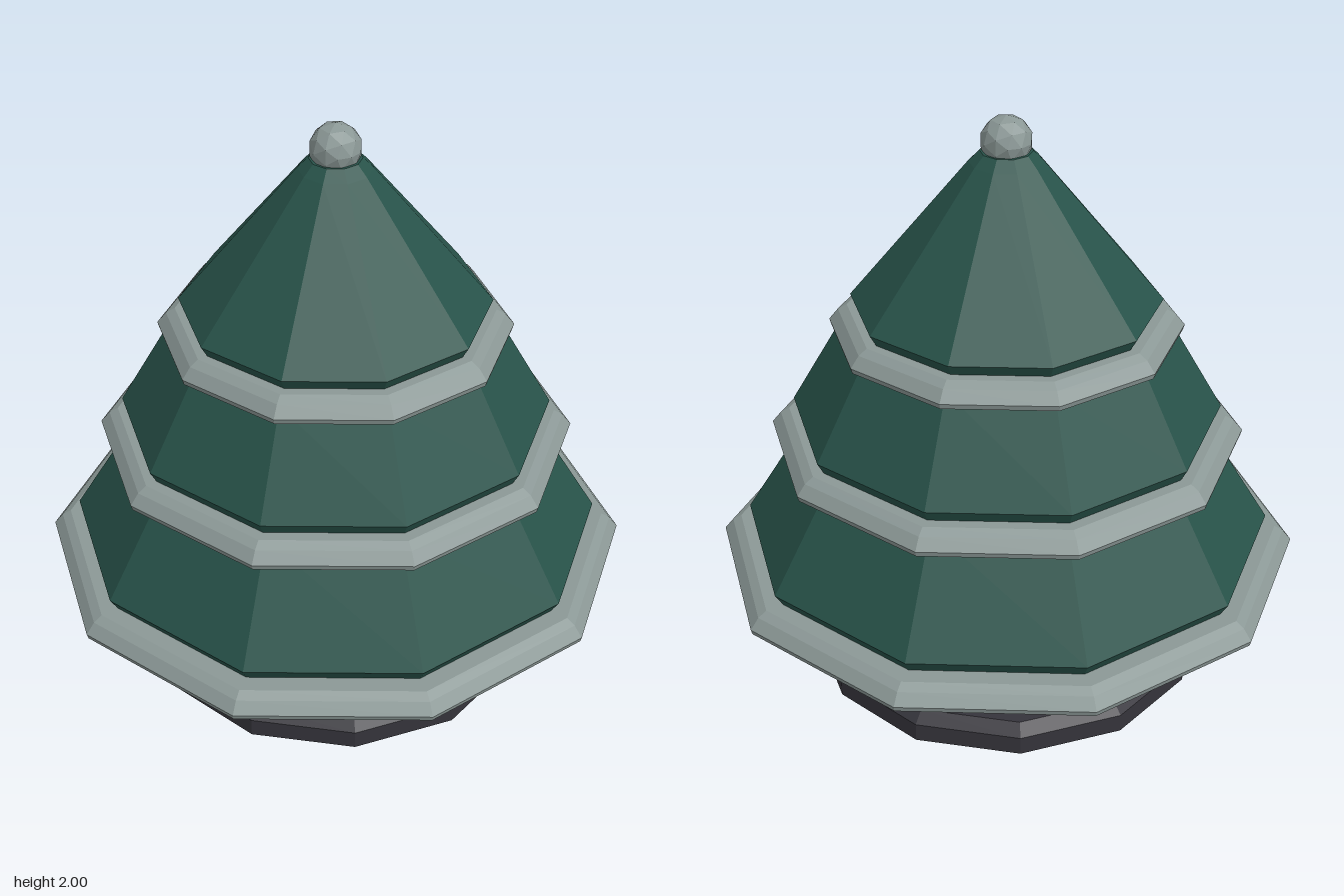
import * as THREE from 'three';

const paint = (name, color) => {
  const m = new THREE.MeshStandardMaterial({ color });
  m.name = name;
  return m;
};

// Separate the faces so every facet has its own normal.
function faceted(geometry) {
  const g = geometry.index ? geometry.toNonIndexed() : geometry;
  g.computeVertexNormals();
  return g;
}

export function createModel() {
  const green = paint('pine green', 0x28534a);
  const snow = paint('pale grey', 0x8b9896);
  const bark = paint('bark brown', 0x3c3124);
  const stone = paint('dark stone', 0x35343b);
  const tree = new THREE.Group();
  tree.name = 'tree';

  const add = (name, geometry, material, parent = tree) => {
    const mesh = new THREE.Mesh(faceted(geometry), material);
    mesh.name = name;
    parent.add(mesh);
    return mesh;
  };

  // Closed solid turned from [radius, height] pairs, listed bottom to top.
  const turned = (profile, sides) => {
    const pts = [[0, profile[0][1]], ...profile, [0, profile[profile.length - 1][1]]];
    return new THREE.LatheGeometry(pts.map(([r, y]) => new THREE.Vector2(r, y)), sides);
  };

  // Chamfered base plate and trunk
  add('base', turned([[0.645, 0], [0.685, 0.03], [0.685, 0.095], [0.645, 0.13]], 12), stone);
  add('trunk', turned([[0.15, 0.13], [0.175, 0.16], [0.175, 0.46]], 8), bark);

  // Three tiers, each a cone of branches sitting on a pale trim ring
  const tiers = [
    { name: 'lower', y: 0.425, ring: 1.0, foliage: [[0.88, 0.46], [0.88, 0.498], [0.905, 0.54], [0.68, 0.9]] },
    { name: 'middle', y: 0.868, ring: 0.8, foliage: [[0.7, 0.9], [0.7, 0.938], [0.722, 0.98], [0.535, 1.3]] },
    { name: 'upper', y: 1.265, ring: 0.585, foliage: [[0.49, 1.3], [0.49, 1.335], [0.512, 1.375], [0.12, 1.845], [0.085, 1.88]] },
  ];
  for (const { name, y, ring, foliage } of tiers) {
    const tier = new THREE.Group();
    tier.name = `${name}Tier`;
    tree.add(tier);
    add(`${name}Trim`, turned([
      [ring - 0.005, y], [ring, y + 0.018], [ring - 0.03, y + 0.055], [ring - 0.06, y + 0.072],
    ], 10), snow, tier);
    add(`${name}Foliage`, turned(foliage, 10), green, tier);
  }

  // Ball on the tip
  add('topBall', new THREE.IcosahedronGeometry(0.084, 1), snow).position.y = 1.912;

  return tree;
}
